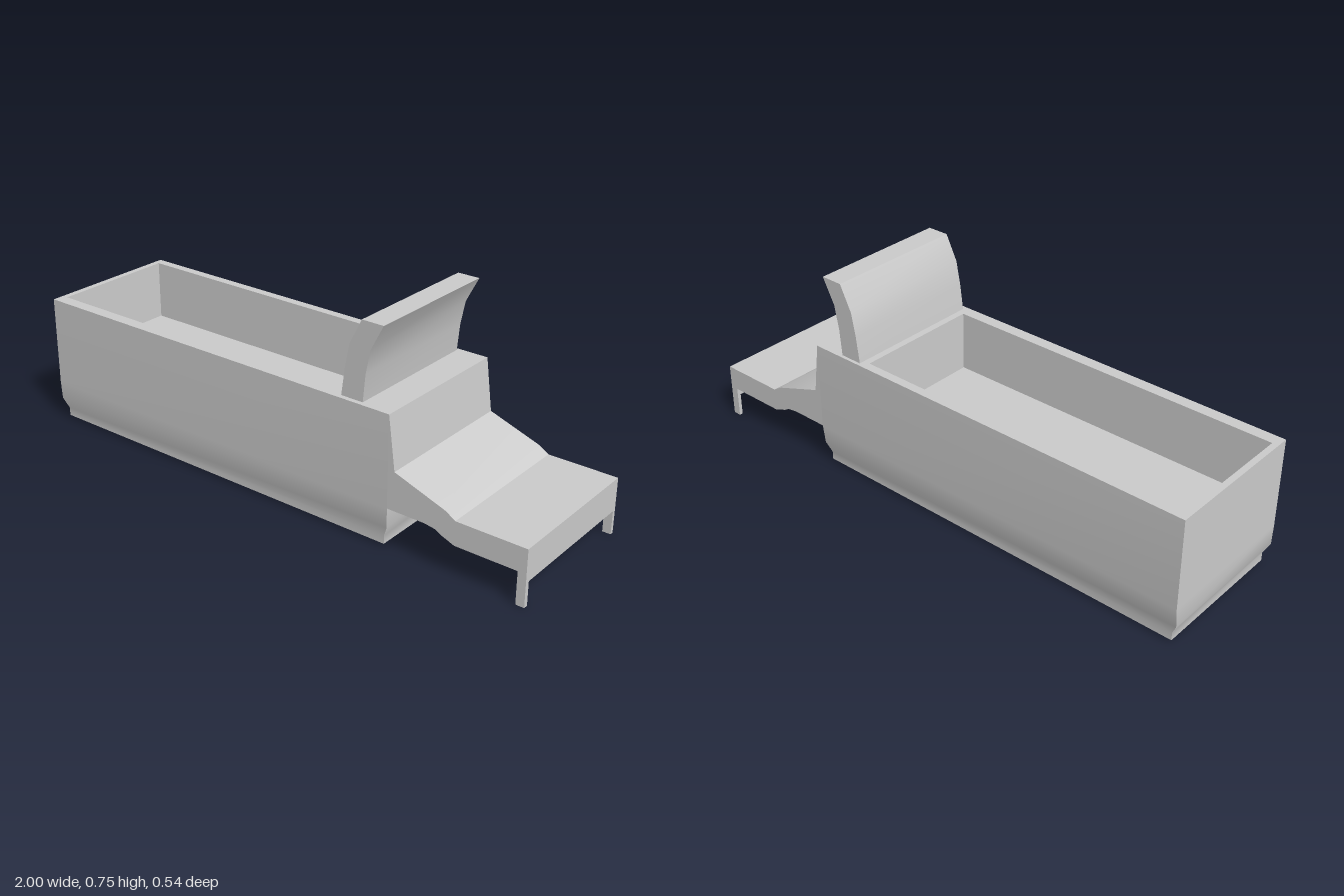
import * as THREE from 'three';
import { toCreasedNormals } from 'three/addons/utils/BufferGeometryUtils.js';

const material = new THREE.MeshStandardMaterial({ color: 0xcccccc });

// Closed loft through rectangular rings given as [y, x0, x1, z0, z1]
function loftRings(rings) {
  const corners = rings.map(([y, x0, x1, z0, z1]) => [[x0, y, z1], [x1, y, z1], [x1, y, z0], [x0, y, z0]]);
  const positions = [];
  const quad = (a, b, c, d) => positions.push(...a, ...b, ...c, ...a, ...c, ...d);
  const [b0, b1, b2, b3] = corners[0];
  quad(b3, b2, b1, b0);
  for (let r = 0; r < corners.length - 1; r++) {
    for (let i = 0; i < 4; i++) {
      const j = (i + 1) % 4;
      quad(corners[r][i], corners[r][j], corners[r + 1][j], corners[r + 1][i]);
    }
  }
  quad(...corners[corners.length - 1]);
  const geometry = new THREE.BufferGeometry();
  geometry.setAttribute('position', new THREE.Float32BufferAttribute(positions, 3));
  return toCreasedNormals(geometry, 0.6);
}

// Side profile in x, y extruded across z
function extrudeProfile(points, z0, z1) {
  const shape = new THREE.Shape(points.map(([x, y]) => new THREE.Vector2(x, y)));
  const geometry = new THREE.ExtrudeGeometry(shape, { depth: z1 - z0, bevelEnabled: false });
  geometry.translate(0, 0, z0);
  return toCreasedNormals(geometry, 0.5);
}

function boxBetween(x0, x1, y0, y1, z0, z1) {
  return new THREE.BoxGeometry(x1 - x0, y1 - y0, z1 - z0)
    .translate((x0 + x1) / 2, (y0 + y1) / 2, (z0 + z1) / 2);
}

export function createModel() {
  const group = new THREE.Group();
  const add = (name, geometry) => {
    const mesh = new THREE.Mesh(geometry, material);
    mesh.name = name;
    group.add(mesh);
  };
  const W = 0.272;

  // Open tub: tucked-in base, straight walls, rim, then the recess and its floor
  add('tub', loftRings([
    [0.01, -0.98, 0.48, -0.252, 0.256],
    [0.04, -0.98, 0.48, -0.252, 0.256],
    [0.08, -1, 0.498, -0.265, 0.268],
    [0.15, -1, 0.5, -W, W],
    [0.475, -1, 0.5, -W, W],
    [0.475, -0.978, 0.28, -0.24, 0.228],
    [0.26, -0.972, 0.274, -0.234, 0.222],
  ]));

  // Sloping nose that levels out into the footrest
  add('footrest', extrudeProfile([
    [0.5, 0.152], [0.64, 0.152], [0.68, 0.146], [0.7, 0.134], [0.75, 0.115],
    [1, 0.115], [1, 0.2], [0.75, 0.2], [0.715, 0.222], [0.525, 0.288], [0.5, 0.475],
  ], -W, W));

  // Lip under the end of the footrest and its two short legs
  add('footrestLip', boxBetween(0.97, 1, 0.085, 0.115, -W, W));
  add('leftLeg', boxBetween(0.97, 1, 0, 0.085, -W, -0.259));
  add('rightLeg', boxBetween(0.97, 1, 0, 0.085, 0.256, W));

  // Curved backrest
  add('backrest', extrudeProfile([
    [0.305, 0.475], [0.388, 0.475], [0.397, 0.57], [0.414, 0.655],
    [0.461, 0.745], [0.38, 0.745], [0.335, 0.655], [0.318, 0.57],
  ], -0.26, 0.255));

  return group;
}
